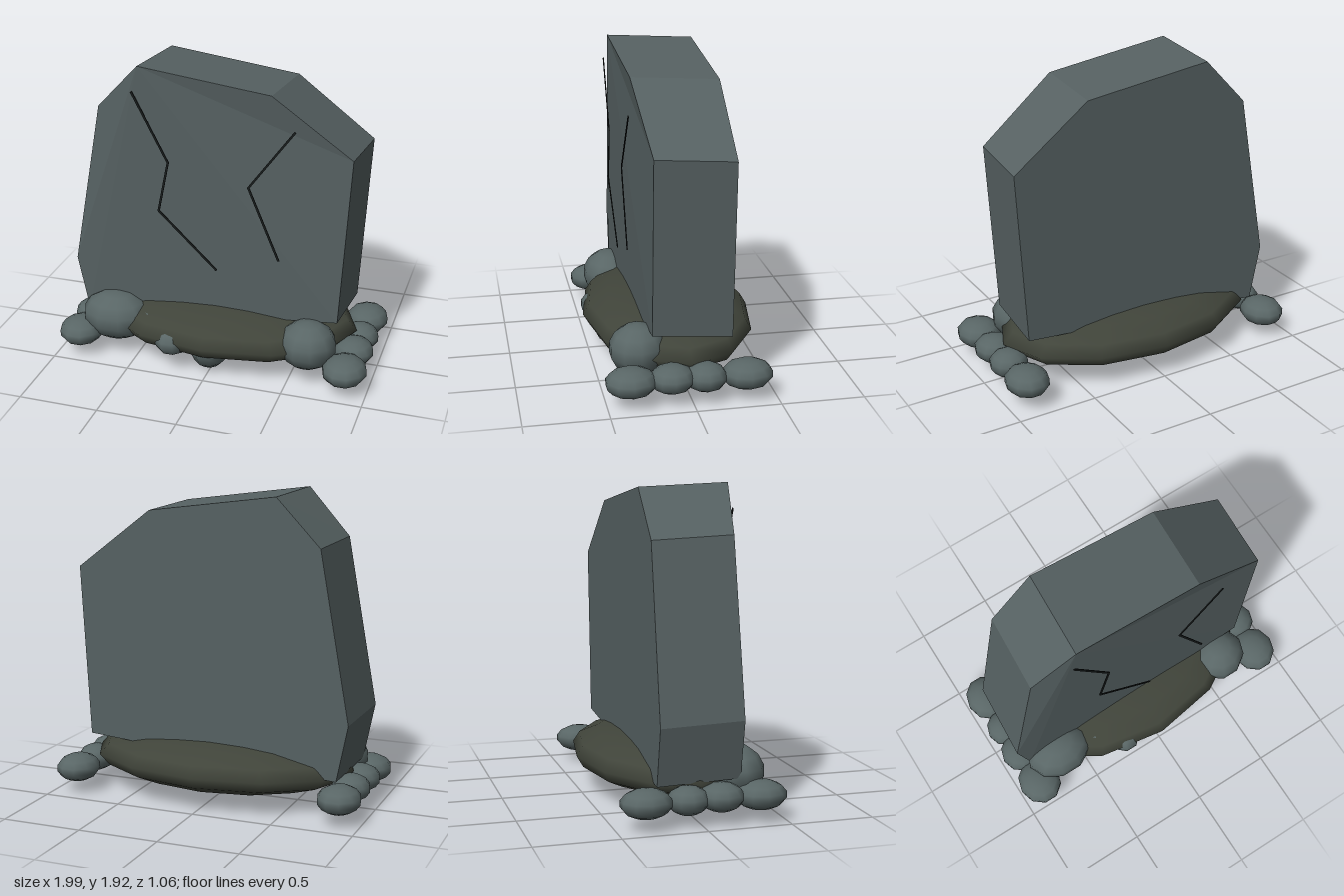
import * as THREE from 'three';

const material = (name, color, extra = {}) => {
  const m = new THREE.MeshStandardMaterial({ color, ...extra });
  m.name = name;
  return m;
};

// Leaning slab: an irregular outline (clockwise) joined to a slightly shifted flat back
function slabGeometry() {
  const front = [
    [-0.46, 1.925, 0.285], [0.355, 1.82, 0.273], [0.835, 1.455, 0.22], [0.775, 0.385, 0.22],
    [-0.85, 0.25, 0.24], [-0.92, 0.6, 0.24], [-0.735, 1.635, 0.23],
  ];
  const back = front.map(([x, y]) => [x + 0.03, y - 0.025, -0.25]);
  const pos = [];
  const tri = (...corners) => corners.forEach((c) => pos.push(...c));
  const n = front.length;
  for (let i = 1; i < n - 1; i++) {
    tri(front[0], front[i + 1], front[i]);
    tri(back[0], back[i], back[i + 1]);
  }
  for (let i = 0; i < n; i++) {
    const j = (i + 1) % n;
    tri(front[i], front[j], back[j]);
    tri(front[i], back[j], back[i]);
  }
  const g = new THREE.BufferGeometry();
  g.setAttribute('position', new THREE.Float32BufferAttribute(pos, 3));
  g.computeVertexNormals();
  return g;
}

export function createModel() {
  const model = new THREE.Group();
  model.name = 'crackedStoneSlab';
  const slabMat = material('slab grey', 0x566162, { flatShading: true });
  const stoneMat = material('stone grey', 0x596666);
  const earthMat = material('dark earth', 0x40443a);
  const crackMat = material('crack black', 0x171b1b);

  const add = (name, geometry, mat, parent = model) => {
    const mesh = new THREE.Mesh(geometry, mat);
    mesh.name = name;
    parent.add(mesh);
    return mesh;
  };

  add('slab', slabGeometry(), slabMat);

  // Earth mound under the slab
  const mound = add('mound', new THREE.SphereGeometry(1, 12, 8), earthMat);
  mound.scale.set(0.86, 0.18, 0.53);
  mound.position.set(0, 0.23, 0);

  // Thin jagged cracks just in front of the face
  const cracks = [
    [[-0.49, 1.77], [-0.27, 1.35], [-0.335, 1.03], [0.03, 0.68]],
    [[0.505, 1.625], [0.23, 1.25], [0.42, 0.8]],
  ];
  cracks.forEach((path, k) => {
    const group = new THREE.Group();
    group.name = k ? 'rightSideCrack' : 'leftSideCrack';
    group.name = k ? 'shortCrack' : 'longCrack';
    model.add(group);
    for (let i = 0; i < path.length - 1; i++) {
      const [x0, y0] = path[i], [x1, y1] = path[i + 1];
      const length = Math.hypot(x1 - x0, y1 - y0);
      const piece = add('crackSegment', new THREE.BoxGeometry(length + 0.006, 0.013, 0.006), crackMat, group);
      piece.position.set((x0 + x1) / 2, (y0 + y1) / 2, 0.307);
      piece.rotation.z = Math.atan2(y1 - y0, x1 - x0);
    }
  });

  // Rounded stones: centre, then radii
  const stoneGeo = new THREE.SphereGeometry(1, 10, 7);
  const stone = (name, [x, y, z, rx, ry, rz]) => {
    const mesh = add(name, stoneGeo, stoneMat);
    mesh.position.set(x, y, z);
    mesh.scale.set(rx, ry, rz);
  };

  // Front row
  [
    [-0.65, 0.25, 0.27, 0.225, 0.16, 0.175],
    [-0.39, 0.23, 0.29, 0.145, 0.105, 0.145],
    [-0.23, 0.2, 0.37, 0.12, 0.097, 0.15],
    [-0.01, 0.17, 0.29, 0.135, 0.17, 0.185],
    [0.18, 0.2, 0.27, 0.16, 0.11, 0.145],
    [0.35, 0.225, 0.3, 0.15, 0.087, 0.125],
    [0.61, 0.245, 0.28, 0.18, 0.155, 0.175],
  ].forEach((s) => stone('frontStone', s));

  // Matching side rows, front to back
  for (const side of [-1, 1]) {
    [
      [0.86, 0.15, 0.36, 0.14, 0.087, 0.155],
      [0.865, 0.155, 0.12, 0.128, 0.085, 0.135],
      [0.865, 0.15, -0.08, 0.122, 0.085, 0.125],
      [0.865, 0.15, -0.325, 0.135, 0.087, 0.155],
    ].forEach(([x, ...rest]) => stone(side > 0 ? 'leftStone' : 'rightStone', [x * side, ...rest]));
  }
  return model;
}
